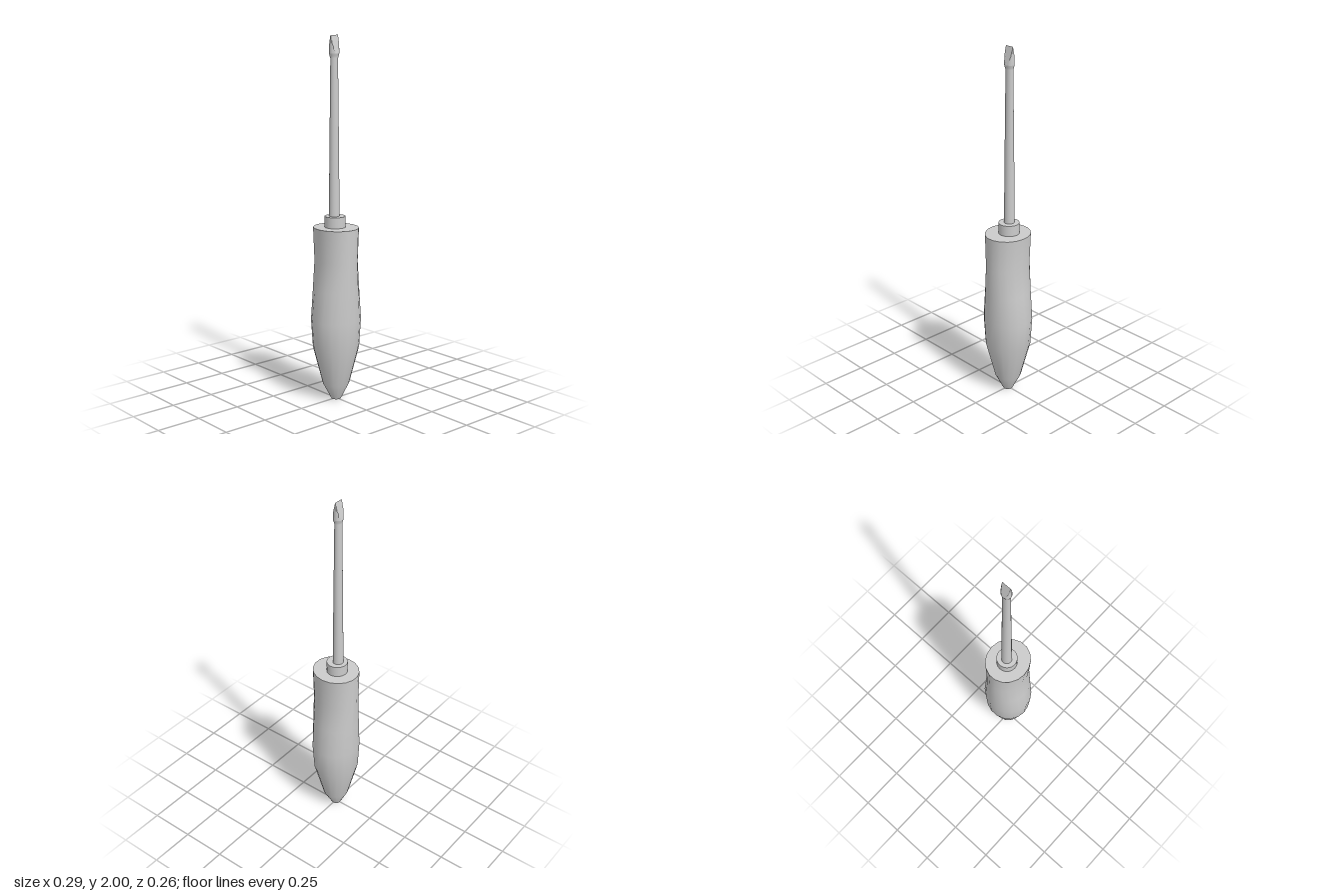
import * as THREE from 'three';

const grey = (flat = false) => new THREE.MeshStandardMaterial({ color: 0xcccccc, flatShading: flat });

// Skin a stack of sections [y, radiusX, radiusZ, halfThickness?]; the last value flattens a section in z.
function loft(sections, sides) {
  const pos = [], index = [];
  for (const [y, rx, rz, h = rz] of sections) {
    for (let i = 0; i < sides; i++) {
      const a = (i / sides) * Math.PI * 2;
      pos.push(rx * Math.cos(a), y, THREE.MathUtils.clamp(rz * Math.sin(a), -h, h));
    }
  }
  for (let j = 0; j < sections.length - 1; j++) {
    for (let i = 0; i < sides; i++) {
      const k = (i + 1) % sides;
      const a = j * sides + i, b = j * sides + k, c = a + sides, d = b + sides;
      index.push(a, c, b, b, c, d);
    }
  }
  const geo = new THREE.BufferGeometry();
  geo.setAttribute('position', new THREE.Float32BufferAttribute(pos, 3));
  geo.setIndex(index);
  geo.computeVertexNormals();
  return geo;
}

// Flat elliptical end cap facing up (1) or down (-1)
function cap(y, rx, rz, sides, dir) {
  const geo = new THREE.CircleGeometry(1, sides);
  geo.rotateX(-dir * Math.PI / 2);
  geo.scale(rx, 1, rz);
  geo.translate(0, y, 0);
  return geo;
}

export function createModel() {
  const group = new THREE.Group();
  const add = (parent, name, geo, flat) => {
    const mesh = new THREE.Mesh(geo, grey(flat));
    mesh.name = name;
    parent.add(mesh);
    return mesh;
  };

  // Handle: waisted across x, straight across z, tapering to a small butt
  const handle = new THREE.Group();
  handle.name = 'handle';
  const grip = [
    [0, 0.027, 0.028], [0.09, 0.075, 0.072], [0.3, 0.13, 0.125], [0.46, 0.143, 0.131],
    [0.63, 0.124, 0.131], [0.79, 0.108, 0.131], [0.975, 0.12, 0.131],
  ];
  add(handle, 'grip', loft(grip, 18));
  add(handle, 'gripBottom', cap(0, 0.027, 0.028, 18, -1));
  add(handle, 'gripTop', cap(0.975, 0.12, 0.131, 18, 1));
  group.add(handle);

  // Collar where the shaft enters the handle
  const collar = add(group, 'collar', new THREE.CylinderGeometry(0.057, 0.057, 0.06, 32));
  collar.position.set(0, 1.005, -0.008);

  // Shaft: slightly tapered rod flaring out below the blade
  const blade = new THREE.Group();
  blade.name = 'blade';
  blade.position.set(-0.002, 0, -0.0125);
  const rod = [
    [1.03, 0.029, 0.029], [1.4, 0.026, 0.025], [1.88, 0.022, 0.018],
    [1.892, 0.026, 0.022], [1.905, 0.029, 0.025],
  ];
  add(blade, 'shaft', loft(rod, 24));

  // Flat tip: rounded flanks cut by two planes meeting in a straight edge
  const tip = [];
  for (let i = 0; i <= 6; i++) {
    const t = i / 6;
    tip.push([1.905 + 0.095 * t, 0.029 - 0.003 * t, 0.025, 0.025 * (1 - t)]);
  }
  add(blade, 'tip', loft(tip, 24), true);
  group.add(blade);

  return group;
}
